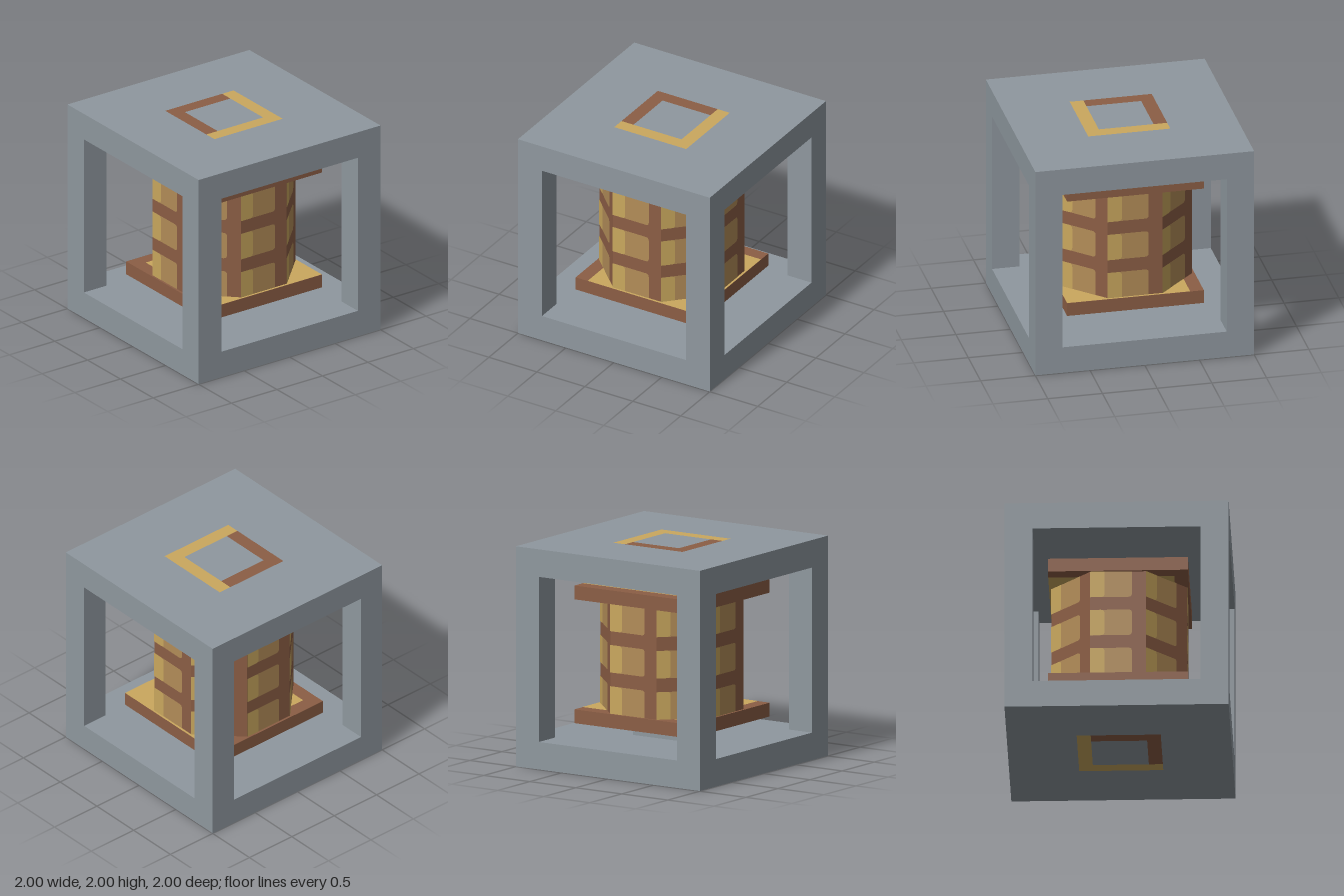
import * as THREE from 'three';

const material = (name, color) => new THREE.MeshStandardMaterial({ name, color });

export function createModel() {
  const grey = material('stone grey', 0x8f989f);
  const brown = material('wood brown', 0x8c5e45);
  const tan = material('tan', 0xb38d58);
  const gold = material('gold', 0xcaa85e);

  const model = new THREE.Group();
  model.name = 'cageLantern';

  const add = (parent, name, geometry, mat, x = 0, y = 0, z = 0) => {
    const mesh = new THREE.Mesh(geometry, mat);
    mesh.name = name;
    mesh.position.set(x, y, z);
    parent.add(mesh);
    return mesh;
  };
  const box = (name, w, h, d, mat, x, y, z) =>
    add(model, name, new THREE.BoxGeometry(w, h, d), mat, x, y, z);
  const polygon = (points) =>
    new THREE.Shape(points.map(([x, y]) => new THREE.Vector2(x, y)));

  // flat inlay on a horizontal face; up = 1 faces upward, -1 downward
  const inlay = (name, shape, mat, y, up) => {
    const mesh = add(model, name, new THREE.ShapeGeometry(shape), mat, 0, y + up * 0.002, 0);
    mesh.rotation.x = -up * Math.PI / 2;
  };

  // L shapes of the square ring, and the large panel on the plates
  const goldL = polygon([[-0.375, -0.375], [0.375, -0.375], [0.375, 0.375],
    [0.25, 0.375], [0.25, -0.25], [-0.375, -0.25]]);
  const brownL = polygon([[-0.375, -0.25], [-0.25, -0.25], [-0.25, 0.25],
    [0.25, 0.25], [0.25, 0.375], [-0.375, 0.375]]);
  const platePanel = polygon([[-0.5, -0.625], [0.625, -0.625], [0.625, 0.5], [-0.5, 0.5]]);

  // outer frame: two slabs and four corner posts
  for (const y of [0.125, 1.875]) box('frameSlab', 2, 0.25, 2, grey, 0, y, 0);
  for (const x of [-0.875, 0.875])
    for (const z of [-0.875, 0.875]) box('cornerPost', 0.25, 1.5, 0.25, grey, x, 1, z);

  // square ring inlaid on the top and the underside
  for (const [y, up] of [[2, 1], [0, -1]]) {
    inlay('ringGold', goldL, gold, y, up);
    inlay('ringBrown', brownL, brown, y, up);
  }

  // necks and end plates
  for (const s of [-1, 1]) {
    box('neck', 0.5, 0.125, 0.5, grey, 0, 1 + s * 0.6875, 0);
    const y = 1 + s * 0.5625;
    box('endPlate', 1.25, 0.125, 1.25, brown, 0, y, 0);
    for (const up of [-1, 1]) inlay('platePanel', platePanel, gold, y + up * 0.0625, up);
  }

  // eight-sided core
  const apothem = 0.6035;
  const radius = apothem / Math.cos(Math.PI / 8);
  const coreGeometry = new THREE.CylinderGeometry(radius, radius, 1, 8)
    .rotateY(Math.PI / 8).toNonIndexed();
  coreGeometry.computeVertexNormals();
  add(model, 'core', coreGeometry, brown, 0, 1, 0);

  // tile with a square left edge and optionally rounded right corners
  const tile = (x0, x1, y0, y1, roundBottom, roundTop) => {
    const r = 0.032;
    const s = new THREE.Shape();
    s.moveTo(x0, y0);
    if (roundBottom) {
      s.lineTo(x1 - r, y0);
      s.quadraticCurveTo(x1, y0, x1, y0 + r);
    } else s.lineTo(x1, y0);
    if (roundTop) {
      s.lineTo(x1, y1 - r);
      s.quadraticCurveTo(x1, y1, x1 - r, y1);
    } else s.lineTo(x1, y1);
    s.lineTo(x0, y1);
    return new THREE.ShapeGeometry(s, 4);
  };

  // three tiles on every side of the core, each with a gold strip on its left
  const rows = [[0.5, 0.75, false, true], [0.875, 1.125, true, true], [1.25, 1.5, true, false]];
  for (let i = 0; i < 8; i++) {
    const side = new THREE.Group();
    side.name = 'coreSide';
    side.rotation.y = i * Math.PI / 4;
    for (const [y0, y1, bottom, top] of rows) {
      add(side, 'tile', tile(-0.25, 0.125, y0, y1, bottom, top), tan, 0, 0, apothem + 0.002);
      add(side, 'tileStrip', tile(-0.25, -0.12, y0, y1, bottom, top), gold, 0, 0, apothem + 0.004);
    }
    model.add(side);
  }

  return model;
}
